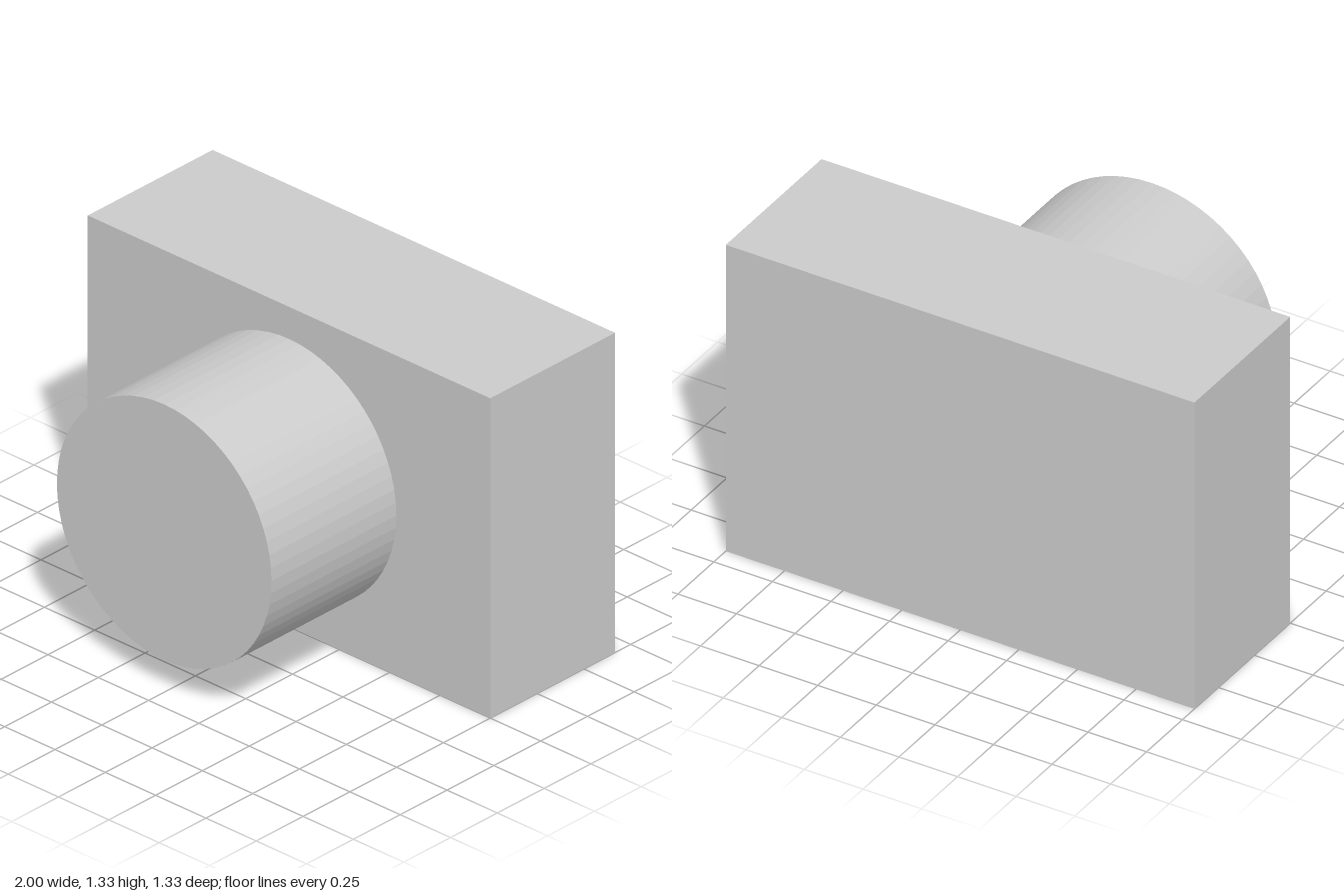
import * as THREE from 'three';

export function createModel() {
  const group = new THREE.Group();
  const material = new THREE.MeshStandardMaterial({ color: 0xcccccc, flatShading: true });
  const height = 4 / 3, depth = 2 / 3, radius = 0.533;

  // Rectangular body, occupying the back half
  const body = new THREE.Mesh(new THREE.BoxGeometry(2, height, depth), material);
  body.name = 'body';
  body.position.set(0, height / 2, -depth / 2);

  // Round barrel projecting from the middle of the front face
  const barrelGeometry = new THREE.CylinderGeometry(radius, radius, depth, 64);
  barrelGeometry.rotateX(Math.PI / 2);
  const barrel = new THREE.Mesh(barrelGeometry, material);
  barrel.name = 'barrel';
  barrel.position.set(0, height / 2, depth / 2);

  group.add(body, barrel);
  return group;
}
